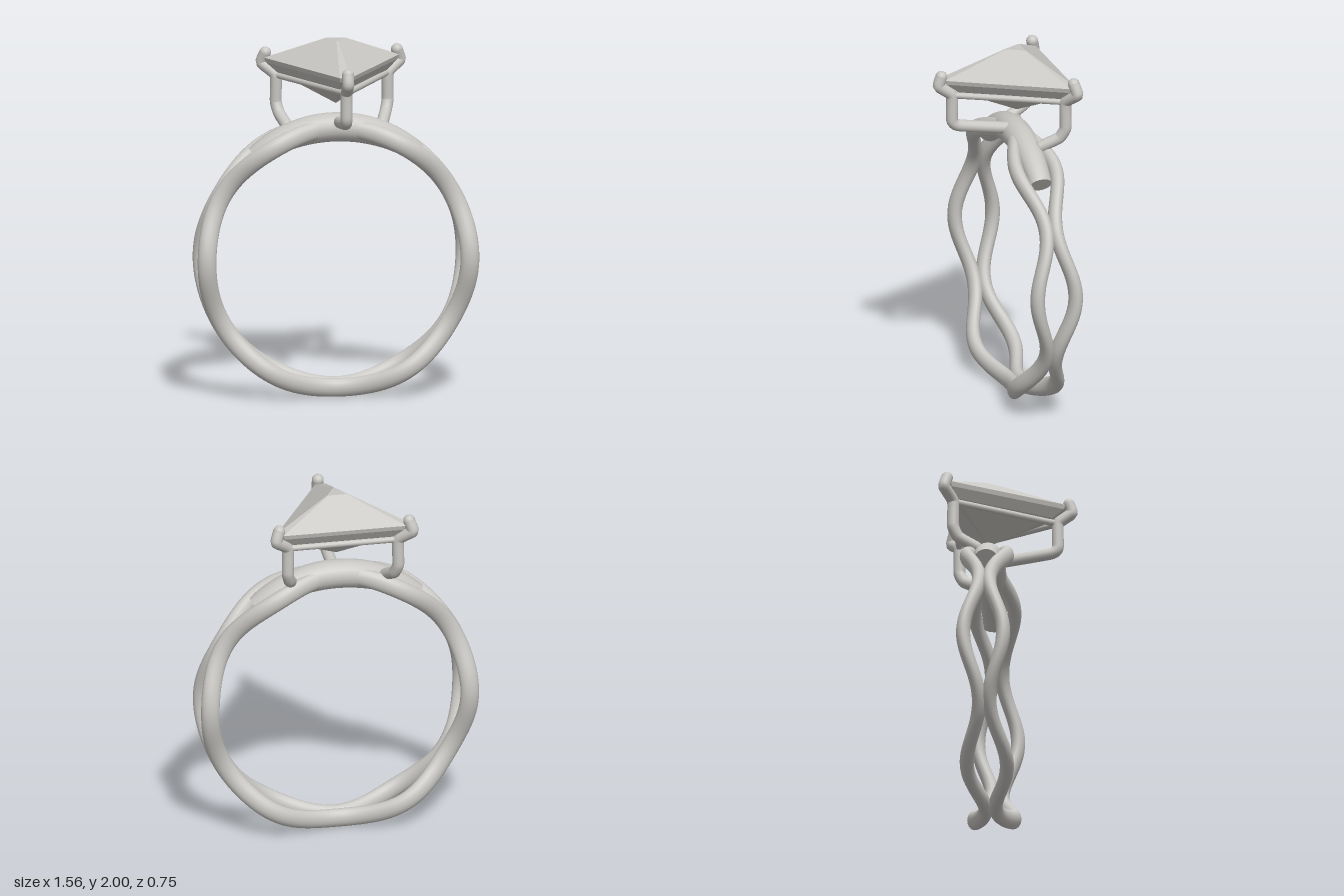
import * as THREE from 'three';

const BAND_Y = 0.78, BAND_Z = -0.106, BAND_R = 0.728;

// Sweeps an ellipse around the finger hole. Stations: {t: angle, a: radial half, b: z half, z: offset}
function sweepBand(stations, closed) {
  const sides = 20, n = stations.length, pos = [], idx = [];
  for (const { t, a, b, z } of stations) {
    for (let j = 0; j < sides; j++) {
      const p = (j / sides) * Math.PI * 2;
      const r = BAND_R + a * Math.cos(p);
      pos.push(r * Math.cos(t), BAND_Y + r * Math.sin(t), BAND_Z + z + b * Math.sin(p));
    }
  }
  for (let i = 0; i < (closed ? n : n - 1); i++) {
    for (let j = 0; j < sides; j++) {
      const k = (j + 1) % sides, m = ((i + 1) % n) * sides;
      const p = i * sides + j, q = m + j, r = i * sides + k, s = m + k;
      idx.push(p, q, r, r, q, s);
    }
  }
  const g = new THREE.BufferGeometry();
  g.setAttribute('position', new THREE.Float32BufferAttribute(pos, 3));
  g.setIndex(idx);
  g.computeVertexNormals();
  return g;
}

// Faceted stone: truncated triangle outlines stacked by [height, scale]
function stoneGeometry() {
  const cz = -0.115;
  const outline = [[0.03, 0.31], [0.375, -0.305], [0.345, -0.34], [-0.345, -0.34], [-0.375, -0.305], [-0.03, 0.31]];
  const layers = [[1.64, 0], [1.79, 0.82], [1.84, 0.97], [1.865, 1], [2, 0.15], [2, 0]];
  const pt = ([y, s], k) => {
    const [x, z] = outline[k % 6];
    return [x * s, y, cz + (z - cz) * s];
  };
  const pos = [];
  for (let i = 0; i < layers.length - 1; i++) {
    for (let k = 0; k < 6; k++) {
      const a = pt(layers[i], k), b = pt(layers[i], k + 1);
      const c = pt(layers[i + 1], k), d = pt(layers[i + 1], k + 1);
      if (layers[i][1] > 0) pos.push(...a, ...b, ...c);
      if (layers[i + 1][1] > 0) pos.push(...b, ...d, ...c);
    }
  }
  const g = new THREE.BufferGeometry();
  g.setAttribute('position', new THREE.Float32BufferAttribute(pos, 3));
  g.computeVertexNormals();
  return g;
}

export function createModel() {
  const model = new THREE.Group();
  model.name = 'ring';
  const metal = new THREE.MeshStandardMaterial({ color: 0xc8c6c2 });
  metal.name = 'silver';

  const add = (name, geometry, parent = model) => {
    const mesh = new THREE.Mesh(geometry, metal);
    mesh.name = name;
    parent.add(mesh);
    return mesh;
  };

  // Two wavy strands that meet six times around the band
  for (const side of [1, -1]) {
    const stations = [];
    for (let i = 0; i < 180; i++) {
      const t = (i / 180) * Math.PI * 2;
      stations.push({ t, a: 0.052, b: 0.039, z: side * (0.069 + 0.041 * Math.cos(6 * t)) });
    }
    add(side > 0 ? 'frontStrand' : 'backStrand', sweepBand(stations, true));
  }

  // Thick saddle between the strands at the top, with blunt ends
  const saddle = [];
  const steps = 40, half = THREE.MathUtils.degToRad(38);
  for (let i = 0; i <= steps; i++) {
    const u = (i / steps) * 2 - 1;
    const s = {
      t: Math.PI / 2 + u * half,
      a: 0.081 - 0.025 * u * u,
      b: 0.083 - 0.02 * u * u,
      z: 0,
    };
    const tip = { ...s, a: 0, b: 0 };
    if (i === 0) saddle.push(tip, s);
    saddle.push(s);
    if (i === steps) saddle.push(s, tip);
  }
  add('saddle', sweepBand(saddle, false));

  // Bent claws with rounded ends
  const claw = (name, points, radius) => {
    const group = new THREE.Group();
    group.name = name;
    const pts = points.map((p) => new THREE.Vector3(...p));
    const curve = new THREE.CatmullRomCurve3(pts, false, 'catmullrom', 0.22);
    add('clawRod', new THREE.TubeGeometry(curve, 60, radius, 14), group);
    for (const p of [pts[0], pts[pts.length - 1]]) {
      add('clawTip', new THREE.SphereGeometry(radius, 16, 12), group).position.copy(p);
    }
    model.add(group);
  };
  claw('frontClaw', [
    [0.012, 1.885, 0.325], [0.012, 1.83, 0.34], [0.012, 1.77, 0.265],
    [0.012, 1.625, 0.263], [0.012, 1.59, 0.225], [0.012, 1.54, -0.08],
  ], 0.033);
  for (const s of [1, -1]) {
    claw(s > 0 ? 'leftBackClaw' : 'rightBackClaw', [
      [s * 0.365, 1.89, -0.325], [s * 0.383, 1.83, -0.34], [s * 0.312, 1.77, -0.295],
      [s * 0.31, 1.62, -0.295], [s * 0.295, 1.56, -0.265], [s * 0.265, 1.51, -0.17],
    ], 0.033);
  }

  // Thin triangular gallery rail joining the claws
  const corners = [[0.012, 0.262], [0.31, -0.295], [-0.31, -0.295]].map(([x, z]) => new THREE.Vector3(x, 1.77, z));
  corners.forEach((p, i) => {
    const line = new THREE.LineCurve3(p, corners[(i + 1) % 3]);
    add('galleryRail', new THREE.TubeGeometry(line, 1, 0.018, 12));
  });

  add('stone', stoneGeometry());
  return model;
}
